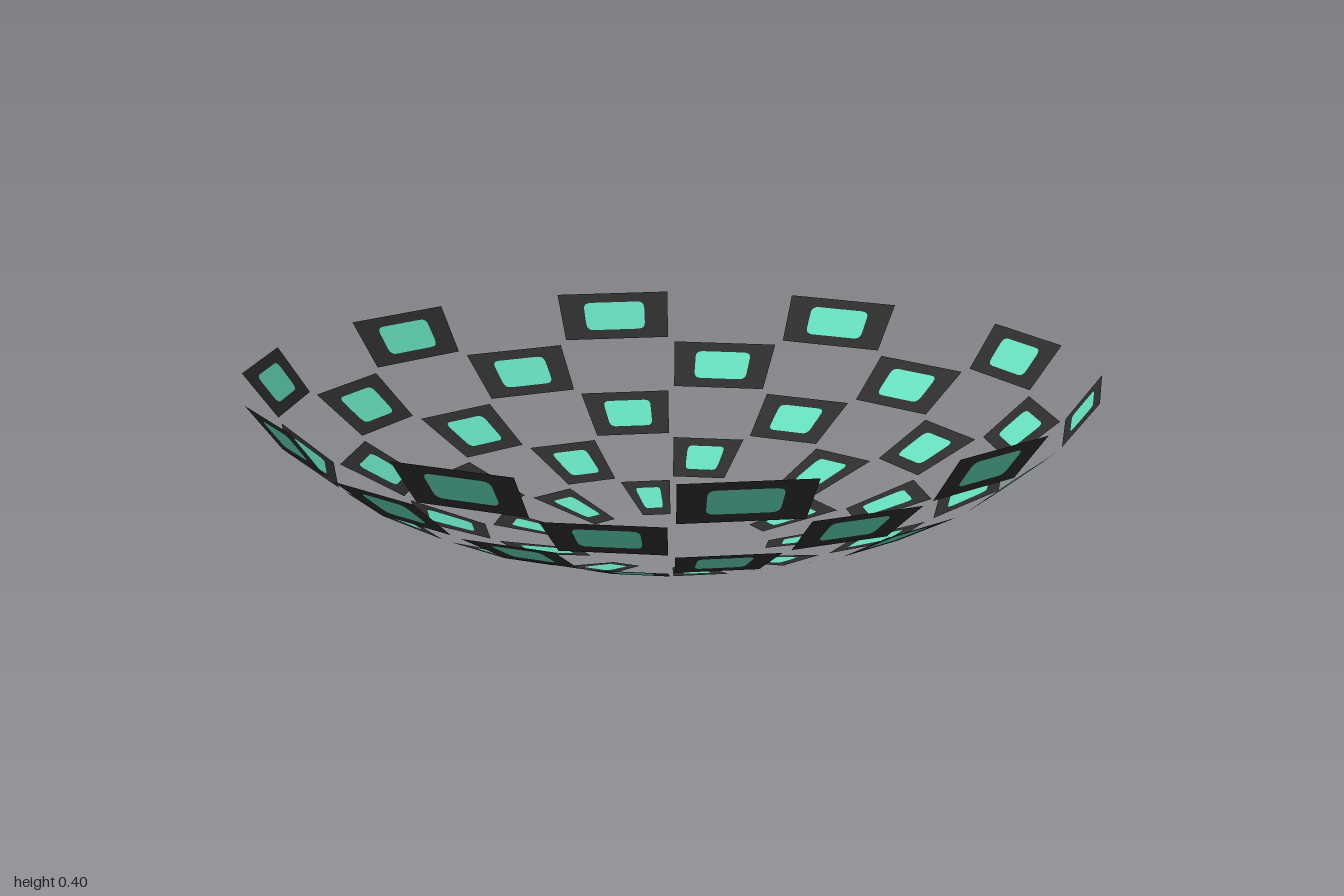
import * as THREE from 'three';

const SECTORS = 20;
const RINGS = 5;
const STEP = 12;        // degrees of the bowl's profile covered by each ring
const GAP = 0.55;       // degrees left open on each side of a tile
const END = (RINGS + 1) * STEP - GAP;
const rad = THREE.MathUtils.degToRad;

// Bowl profile: part of an ellipse, scaled to rim radius 1 and height 0.4
const A = 1 / Math.sin(rad(END));
const B = 0.4 / (Math.cos(rad(STEP + GAP)) - Math.cos(rad(END)));

function bowlPoint(polar, azimuth) {
  const r = A * Math.sin(rad(polar));
  return new THREE.Vector3(
    r * Math.sin(rad(azimuth)),
    B * (Math.cos(rad(STEP + GAP)) - Math.cos(rad(polar))),
    r * Math.cos(rad(azimuth))
  );
}

// Rounded window outline inside the unit square of a tile
function windowOutline(path) {
  const u0 = 0.22, u1 = 0.78, v0 = 0.2, v1 = 0.8, cu = 0.07, cv = 0.13;
  path.moveTo(u0 + cu, v0);
  path.lineTo(u1 - cu, v0);
  path.quadraticCurveTo(u1, v0, u1, v0 + cv);
  path.lineTo(u1, v1 - cv);
  path.quadraticCurveTo(u1, v1, u1 - cu, v1);
  path.lineTo(u0 + cu, v1);
  path.quadraticCurveTo(u0, v1, u0, v1 - cv);
  path.lineTo(u0, v0 + cv);
  path.quadraticCurveTo(u0, v0, u0 + cu, v0);
  return path;
}

function frameShape() {
  const s = new THREE.Shape();
  s.moveTo(0, 0);
  s.lineTo(1, 0);
  s.lineTo(1, 1);
  s.lineTo(0, 1);
  s.closePath();
  s.holes.push(windowOutline(new THREE.Path()));
  return s;
}

// Lay a unit-square shape onto the flat tile of one ring
function tileGeometry(shape, ring) {
  const low = (ring + 1) * STEP + GAP;
  const high = (ring + 2) * STEP - GAP;
  const left = GAP, right = 360 / SECTORS - GAP;
  const p00 = bowlPoint(low, left), p10 = bowlPoint(low, right);
  const p01 = bowlPoint(high, left), p11 = bowlPoint(high, right);
  const geo = new THREE.ShapeGeometry(shape, 4);
  const pos = geo.attributes.position;
  for (let i = 0; i < pos.count; i++) {
    const u = pos.getX(i), v = pos.getY(i);
    const p = p00.clone().lerp(p10, u).lerp(p01.clone().lerp(p11, u), v);
    pos.setXYZ(i, p.x, p.y, p.z);
  }
  geo.computeVertexNormals();
  return geo;
}

export function createModel() {
  const charcoal = new THREE.MeshStandardMaterial({ color: 0x2d2d2d, side: THREE.DoubleSide });
  charcoal.name = 'charcoal';
  const mint = new THREE.MeshStandardMaterial({ color: 0x64dcbc, side: THREE.DoubleSide });
  mint.name = 'mint';

  const model = new THREE.Group();
  model.name = 'checkeredDish';

  for (let ring = 0; ring < RINGS; ring++) {
    const frameGeo = tileGeometry(frameShape(), ring);
    const panelGeo = tileGeometry(windowOutline(new THREE.Shape()), ring);
    const ringGroup = new THREE.Group();
    ringGroup.name = `tileRing${ring + 1}`;

    // Every other sector holds a tile, staggered from ring to ring
    for (let sector = ring % 2; sector < SECTORS; sector += 2) {
      const tile = new THREE.Group();
      tile.name = 'tile';
      const frame = new THREE.Mesh(frameGeo, charcoal);
      frame.name = 'tileFrame';
      const panel = new THREE.Mesh(panelGeo, mint);
      panel.name = 'tilePanel';
      tile.add(frame, panel);
      tile.rotation.y = (sector / SECTORS) * Math.PI * 2;
      ringGroup.add(tile);
    }
    model.add(ringGroup);
  }
  return model;
}
